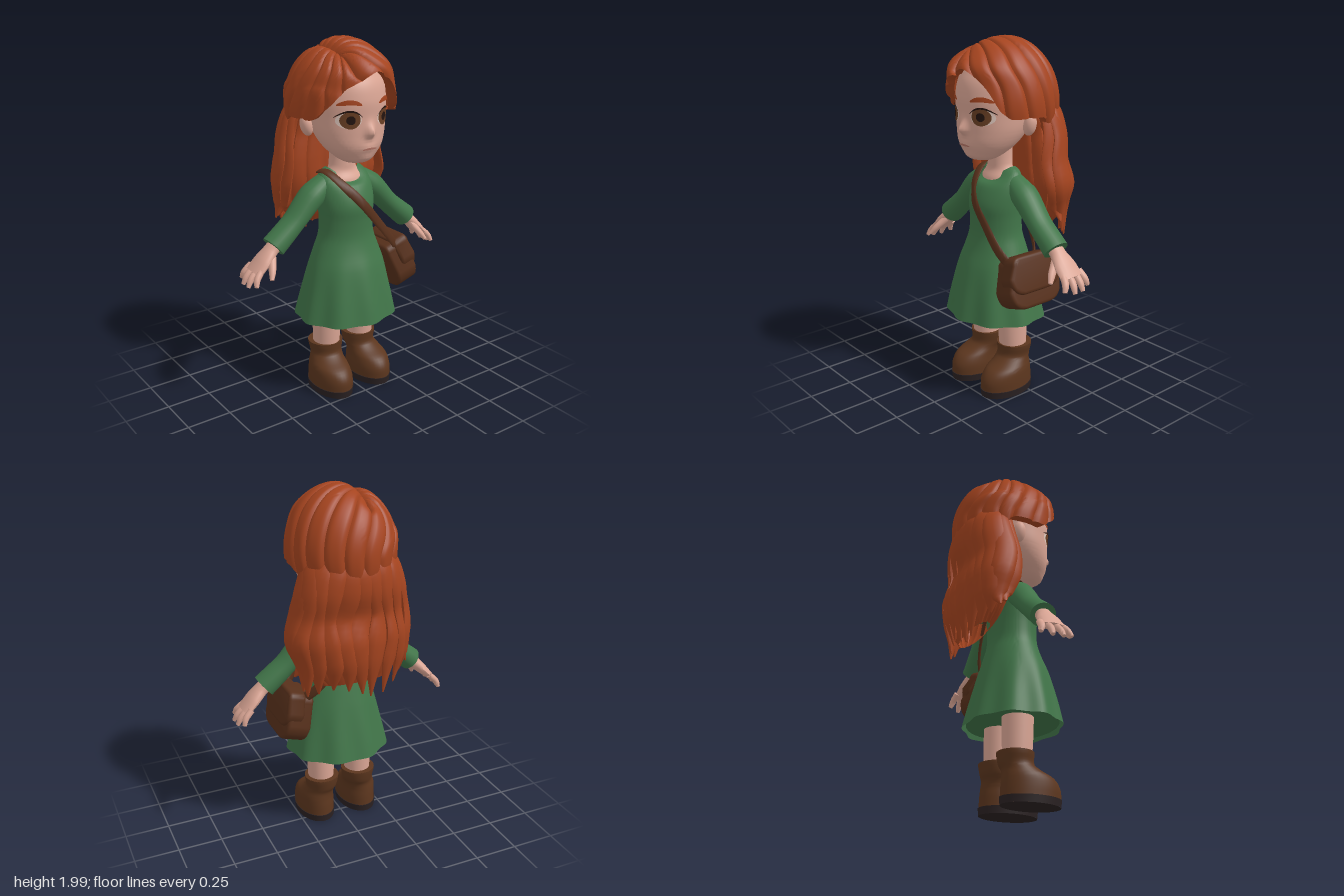
import * as THREE from 'three';
import { toCreasedNormals } from 'three/addons/utils/BufferGeometryUtils.js';

const TAU = Math.PI * 2;
const V = (x, y, z) => new THREE.Vector3(x, y, z);
const ss = (a, b, x) => THREE.MathUtils.smoothstep(x, a, b);
const bell = (d, w) => Math.exp(-((d / w) ** 2));
const mat = (name, color, side = THREE.FrontSide) => {
  const m = new THREE.MeshStandardMaterial({ color, side });
  m.name = name;
  return m;
};

// Surface wrapped around in u; fn(angle, row) gives the point
function grid(nu, nv, fn) {
  const pos = [], idx = [];
  for (let j = 0; j <= nv; j++)
    for (let i = 0; i < nu; i++) pos.push(...fn((i / nu) * TAU, j).toArray());
  for (let j = 0; j < nv; j++)
    for (let i = 0; i < nu; i++) {
      const a = j * nu + i, b = j * nu + ((i + 1) % nu);
      idx.push(a, b, b + nu, a, b + nu, a + nu);
    }
  const g = new THREE.BufferGeometry();
  g.setAttribute('position', new THREE.Float32BufferAttribute(pos, 3));
  g.setIndex(idx);
  return toCreasedNormals(g, 0.75);
}

// Smooth values of a section table [y, rx, rz, cx, cz] at height y
function at(rows, y) {
  y = THREE.MathUtils.clamp(y, rows[0][0], rows.at(-1)[0]);
  let i = 0;
  while (i < rows.length - 2 && y > rows[i + 1][0]) i++;
  const h = rows[i + 1][0] - rows[i][0], t = (y - rows[i][0]) / h;
  const slope = (n, c) => {
    const p = rows[Math.max(n - 1, 0)], q = rows[Math.min(n + 1, rows.length - 1)];
    return (q[c] - p[c]) / (q[0] - p[0]);
  };
  return [1, 2, 3, 4].map((c) =>
    rows[i][c] * (1 + 2 * t) * (1 - t) ** 2 + slope(i, c) * h * t * (1 - t) ** 2 +
    rows[i + 1][c] * t * t * (3 - 2 * t) + slope(i + 1, c) * h * t * t * (t - 1));
}

// Upright body made of elliptical sections, with optional ripple and warp rules
function loft(rows, { n = 48, k = 4, ripple = () => 1, warp = () => {} } = {}) {
  return grid(n, (rows.length - 1) * k, (a, j) => {
    const i = Math.min(Math.floor(j / k), rows.length - 2);
    const y = THREE.MathUtils.lerp(rows[i][0], rows[i + 1][0], (j - i * k) / k);
    const [rx, rz, cx, cz] = at(rows, y), r = ripple(a, y);
    const p = V(cx + rx * r * Math.sin(a), y, cz + rz * r * Math.cos(a));
    warp(p, a);
    return p;
  });
}

// Flattened tapering tube; sizes are [half width, half thickness] along the path
function strand(points, sizes, up, n = 12, steps = 16) {
  const curve = new THREE.CatmullRomCurve3(points);
  return grid(n, steps + 2, (a, j) => {
    const t = THREE.MathUtils.clamp((j - 1) / steps, 0, 1);
    const p = curve.getPoint(t), T = curve.getTangent(t);
    if (j === 0 || j === steps + 2) return p;
    const N = up(p);
    N.addScaledVector(T, -N.dot(T)).normalize();
    const S = N.clone().cross(T);
    const f = t * (sizes.length - 1), i = Math.min(Math.floor(f), sizes.length - 2);
    const size = (c) => THREE.MathUtils.lerp(sizes[i][c], sizes[i + 1][c], f - i);
    return p.addScaledVector(S, size(0) * Math.cos(a)).addScaledVector(N, size(1) * Math.sin(a));
  });
}

const HEAD = [
  [1.345, 0, 0, 0, 0.14], [1.36, 0.07, 0.065, 0, 0.14], [1.4, 0.127, 0.117, 0, 0.12],
  [1.45, 0.168, 0.16, 0, 0.097], [1.52, 0.198, 0.19, 0, 0.07], [1.6, 0.21, 0.212, 0, 0.05],
  [1.7, 0.217, 0.235, 0, 0.03], [1.8, 0.205, 0.225, 0, 0.01], [1.9, 0.13, 0.14, 0, 0], [1.93, 0, 0, 0, 0],
];
const HAIR = [
  [0.96, 0.19, 0.05, 0, -0.18], [1.03, 0.26, 0.09, 0, -0.17], [1.12, 0.31, 0.125, 0, -0.165],
  [1.22, 0.335, 0.14, 0.01, -0.145], [1.34, 0.325, 0.125, 0, -0.13], [1.42, 0.31, 0.13, 0, -0.137],
  [1.5, 0.285, 0.143, 0, -0.15], [1.6, 0.262, 0.15, 0, -0.14], [1.74, 0.2, 0.14, 0, -0.1],
];
const DRESS = [
  [0.455, 0.295, 0.26, 0, 0.052], [0.6, 0.262, 0.228, 0, 0.055], [0.75, 0.225, 0.19, 0, 0.055],
  [0.85, 0.19, 0.157, 0, 0.05], [0.93, 0.163, 0.137, 0, 0.05], [1.02, 0.158, 0.135, 0, 0.05],
  [1.1, 0.163, 0.14, 0, 0.05], [1.18, 0.166, 0.13, 0, 0.035], [1.25, 0.155, 0.105, 0, 0.018],
  [1.285, 0.13, 0.086, 0, 0.01], [1.305, 0.095, 0.074, 0, 0.008],
];

export function createModel() {
  const root = new THREE.Group();
  const skin = mat('skin', 0xdba695), hair = mat('hair', 0xa5441f, THREE.DoubleSide);
  const green = mat('dress green', 0x417549, THREE.DoubleSide), boot = mat('boot brown', 0x5c361e);
  const leather = mat('bag leather', 0x57301b), sole = mat('sole', 0x2a2122);
  const iris = mat('iris brown', 0x6b4024), white = mat('eye white', 0xe0c8bd);
  const dark = mat('lash dark', 0x24140f), lips = mat('lips', 0xb87768);
  const add = (name, geo, m, parent = root) => {
    const mesh = new THREE.Mesh(geo, m);
    mesh.name = name;
    parent.add(mesh);
    return mesh;
  };
  const disc = (name, m, x, y, z, rx, rz, down) => {
    const g = new THREE.CircleGeometry(1, 40).rotateX(down ? Math.PI / 2 : -Math.PI / 2);
    add(name, g.scale(rx, 1, rz).translate(x, y, z), m);
  };

  // Head with the nose, lips and chin raised from it, and neck
  add('head', loft(HEAD, {
    n: 120, k: 9,
    warp: (p, a) => {
      if (Math.cos(a) < 0) return;
      p.z += 0.038 * bell(p.x, 0.026) * bell(p.y - 1.528, p.y > 1.528 ? 0.045 : 0.025)
        + 0.008 * bell(p.x, 0.045) * bell(p.y - 1.445, 0.025) + 0.01 * bell(p.x, 0.05) * bell(p.y - 1.39, 0.025);
    },
  }), skin);
  add('neck', loft([[1.16, 0.13, 0.09, 0, 0.03], [1.24, 0.125, 0.088, 0, 0.018],
    [1.285, 0.09, 0.074, 0, 0.01], [1.32, 0.076, 0.072, 0, 0.01], [1.45, 0.074, 0.072, 0, 0.01]]), skin);

  // Thin painted patches that follow the face
  const decal = (name, m, cx, cy, rx, ry, off, bend = 0) => {
    const g = new THREE.RingGeometry(0, 1, 28, 4), p = g.attributes.position;
    for (let i = 0; i < p.count; i++) {
      const u = p.getX(i), x = cx + rx * u, y = cy + ry * p.getY(i) - bend * u * u;
      const [hx, hz, , cz] = at(HEAD, y);
      p.setXYZ(i, x, y, cz + hz * Math.sqrt(Math.max(0, 1 - (x / hx) ** 2)) + off);
    }
    g.computeVertexNormals();
    add(name, g, m);
  };
  decal('mouth', lips, 0, 1.445, 0.045, 0.006, 0.0125, 0.004);
  for (const s of [1, -1]) {
    decal('eyeWhite', white, s * 0.108, 1.6, 0.058, 0.043, 0.002);
    decal('iris', iris, s * 0.105, 1.602, 0.047, 0.046, 0.0045);
    decal('pupil', dark, s * 0.105, 1.602, 0.021, 0.023, 0.0065);
    decal('upperLash', dark, s * 0.111, 1.649, 0.064, 0.005, 0.0075, 0.034);
    decal('eyebrow', hair, s * 0.11, 1.694, 0.056, 0.013, 0.007, 0.014);
    const ear = add('ear', new THREE.SphereGeometry(1, 20, 14), skin);
    ear.position.set(s * 0.218, 1.55, -0.003);
    ear.scale.set(0.034, 0.06, 0.037);
    ear.rotation.z = -s * 0.25;
  }

  // Hair cap: strands leave a side parting sideways and sweep back to an arched hairline
  add('hairCap', grid(144, 40, (u, j) => {
    const up = Math.max(0, j - 1) / 39;
    const a = u + 0.5 * Math.sin(u) * (0.45 - up);
    const d = Math.abs(Math.atan2(Math.sin(a + 0.06), Math.cos(a + 0.06)));
    const low = 1.835 - 0.235 * ss(0.3, 1.15, d) - 0.14 * ss(1.7, 2.1, d);
    const phi = Math.acos((low - 1.65) / 0.35) * (1 - up);
    const sn = Math.sin(phi), cs = Math.cos(phi), c = Math.cos(a);
    const upper = cs > 0 ? 1 : 0;
    const x = 0.3 * sn * Math.sin(a) - upper * 0.09 * (1 - Math.pow(sn, 2 + 4 * Math.abs(c)));
    const along = upper * 0.1 * c * (1 - sn) ** 2;
    const rise = upper ? Math.sqrt(Math.max(0.3 * cs * cs, 1 - (x / 0.3) ** 2 - (sn * c + along / 0.3) ** 2)) : cs;
    const fromPart = 0.3 * sn * Math.abs(Math.sin(a));
    const bulge = 0.036 * bell(rise * 0.35 - 0.21, 0.07) * Math.sqrt(Math.max(0, c)) * (1 - 0.8 * Math.exp(-fromPart / 0.05));
    const z = along + (c > 0 ? 0.31 * c * Math.pow(sn, 0.75) + bulge : 0.3 * c * sn - 0.01 * Math.min(1, -c * 4) * sn);
    const groove = 1 - 0.055 * Math.sqrt(sn) * Math.pow(1 - Math.abs(Math.sin(u * 8)), 2.5);
    const part = 0.05 * Math.exp(-fromPart / 0.03) * (c > 0 ? 1 - ss(0.7, 0.9, sn) : 1 - ss(0.4, 0.7, sn));
    const k = j === 0 ? 0.84 : groove;
    return V(x * k, 1.65 + 0.35 * rise * (j ? groove : 1) - part, z * k);
  }), hair);

  // Long back hair with broad wavy locks over it
  add('backHair', loft(HAIR, { n: 108, ripple: (a) => 1 - 0.05 * Math.pow(1 - Math.abs(Math.sin(a * 9)), 2) }), hair);
  const fromAxis = (p) => V(p.x * 0.6, 0, p.z + 0.1);
  const COUNT = 13;
  for (let i = 0; i < COUNT; i++) {
    const f = (i / (COUNT - 1)) * 2 - 1, b = f * 1.85;
    const end = 0.91 + 0.12 * Math.abs(f) ** 3 + Math.sin(i * 7.3) * 0.035;
    const tip = 0.86 + 0.32 * f * f + 0.05 * Math.sin(i * 2.1);
    const radii = [0.8, 0.93, 0.97, 0.97, 0.98, 0.99, tip];
    const pts = [1.72, 1.6, 1.48, 1.35, 1.22, 1.09, end].map((y, k) => {
      const [rx, rz, cx, cz] = at(HAIR, Math.max(y, 1.07)), bb = b + 0.07 * Math.sin(k * 1.5 + i * 1.3);
      return V(cx + rx * radii[k] * Math.sin(bb), y, cz - rz * radii[k] * Math.cos(bb));
    });
    add('hairLock', strand(pts, [[0.03, 0.01], [0.055, 0.02], [0.064, 0.024], [0.066, 0.024], [0.07, 0.03], [0.056, 0.028], [0.005, 0.004]],
      fromAxis, 12, 24), hair);
  }

  // Dress with skirt folds and a scooped neckline
  add('dress', loft(DRESS, {
    n: 108,
    ripple: (a, y) => 1 + 0.032 * (1 - ss(0.5, 0.88, y)) * Math.cos(a * 9),
    warp: (p, a) => { p.y -= 0.05 * ss(1.2, 1.3, p.y) * Math.max(0, Math.cos(a)) ** 2; },
  }), green);
  disc('skirtUnderside', green, 0, 0.475, 0.052, 0.28, 0.245, true);

  for (const s of [1, -1]) {
    // Sleeve, palm, fingers and thumb
    const P = (x, y, z) => V(s * x, y, z), up = () => V(s * 0.7, 0.7, 0);
    add('sleeve', strand([P(0.09, 1.235, 0.01), P(0.2, 1.158, 0.01), P(0.32, 1.035, 0.012), P(0.452, 0.922, 0.015)],
      [[0.06, 0.055], [0.08, 0.07], [0.072, 0.058], [0.073, 0.066]], up, 24), green);
    add('palm', strand([P(0.42, 0.95, 0.015), P(0.49, 0.885, 0.015), P(0.575, 0.8, 0.01)],
      [[0.045, 0.04], [0.047, 0.036], [0.07, 0.032], [0.075, 0.022]], up, 16), skin);
    [[-0.055, -0.078, 0.6, 0.75], [-0.02, -0.022, 0.622, 0.735], [0.022, 0.037, 0.625, 0.735], [0.058, 0.093, 0.605, 0.75]]
      .forEach(([z0, z1, x, y]) => add('finger', strand([P(0.55, 0.825, z0), P((0.56 + x) / 2 + 0.008, (0.82 + y) / 2, (z0 + z1) / 2), P(x, y, z1)],
        [[0.02, 0.018], [0.02, 0.018], [0.018, 0.016], [0.012, 0.011]], up, 10, 10), skin));
    add('thumb', strand([P(0.48, 0.875, 0.04), P(0.505, 0.83, 0.09), P(0.53, 0.785, 0.125)],
      [[0.028, 0.022], [0.023, 0.02], [0.02, 0.017], [0.012, 0.01]], up, 10, 10), skin);

    // Leg and boot
    const x = s * 0.117, fx = s * 0.135;
    add('leg', loft([[0.2, 0.073, 0.075, x, 0.02], [0.35, 0.078, 0.083, x, 0.025], [0.6, 0.085, 0.088, x, 0.03]], { n: 24 }), skin);
    add('boot', loft([[0.04, 0.107, 0.165, fx, 0.088], [0.1, 0.107, 0.162, fx, 0.088], [0.15, 0.101, 0.142, fx, 0.074],
      [0.185, 0.092, 0.108, s * 0.127, 0.042], [0.215, 0.09, 0.095, x, 0.018], [0.265, 0.099, 0.098, x, 0.012],
      [0.28, 0.1, 0.099, x, 0.012]], { n: 36 }), boot);
    disc('bootTop', boot, x, 0.279, 0.012, 0.1, 0.099, false);
    add('sole', loft([[0.005, 0.107, 0.165, fx, 0.087], [0.045, 0.111, 0.169, fx, 0.088]], { n: 36, k: 1 }), sole);
    disc('soleBottom', sole, fx, 0.005, 0.087, 0.107, 0.165, true);
    disc('soleWelt', sole, fx, 0.045, 0.088, 0.111, 0.169, false);
  }

  // Shoulder bag: rounded body with a flap on its outer side
  const bag = new THREE.Group();
  bag.name = 'shoulderBag';
  bag.position.set(0.288, 0.717, 0.067);
  bag.rotation.z = 0.3;
  root.add(bag);
  const panel = (top, bottom, wTop, wBottom, r, depth, x) => {
    const sh = new THREE.Shape();
    sh.moveTo(-wTop + 0.03, top);
    sh.lineTo(wTop - 0.03, top);
    sh.quadraticCurveTo(wTop, top, wTop, top - 0.03);
    sh.lineTo(wBottom, bottom + r);
    sh.quadraticCurveTo(wBottom, bottom, wBottom - r, bottom);
    sh.lineTo(-wBottom + r, bottom);
    sh.quadraticCurveTo(-wBottom, bottom, -wBottom, bottom + r);
    sh.lineTo(-wTop, top - 0.03);
    sh.quadraticCurveTo(-wTop, top, -wTop + 0.03, top);
    const g = new THREE.ExtrudeGeometry(sh, { depth, bevelSize: 0.018, bevelThickness: 0.018, bevelSegments: 3, curveSegments: 8 });
    return toCreasedNormals(g.rotateY(Math.PI / 2).translate(x, 0, 0), 0.8);
  };
  add('bagBody', panel(0.115, -0.12, 0.115, 0.16, 0.09, 0.105, -0.055), leather, bag);
  add('bagFlap', panel(0.13, -0.04, 0.12, 0.154, 0.08, 0.066, 0), leather, bag);

  // Strap across the chest, over the shoulder and down the back
  add('bagStrap', strand([V(0.27, 0.81, 0.17), V(0.2, 0.89, 0.2), V(0.1, 1.01, 0.207), V(0, 1.13, 0.2), V(-0.075, 1.225, 0.132),
    V(-0.12, 1.288, 0.03), V(-0.12, 1.255, -0.07), V(-0.03, 1.13, -0.105), V(0.1, 0.98, -0.095), V(0.18, 0.88, -0.07), V(0.25, 0.81, -0.02)],
    [[0.026, 0.008], [0.026, 0.008]], (p) => V(p.x * 0.4, Math.max(0, p.y - 1.18) * 2, p.z - 0.03), 12, 60), leather);
  return root;
}
